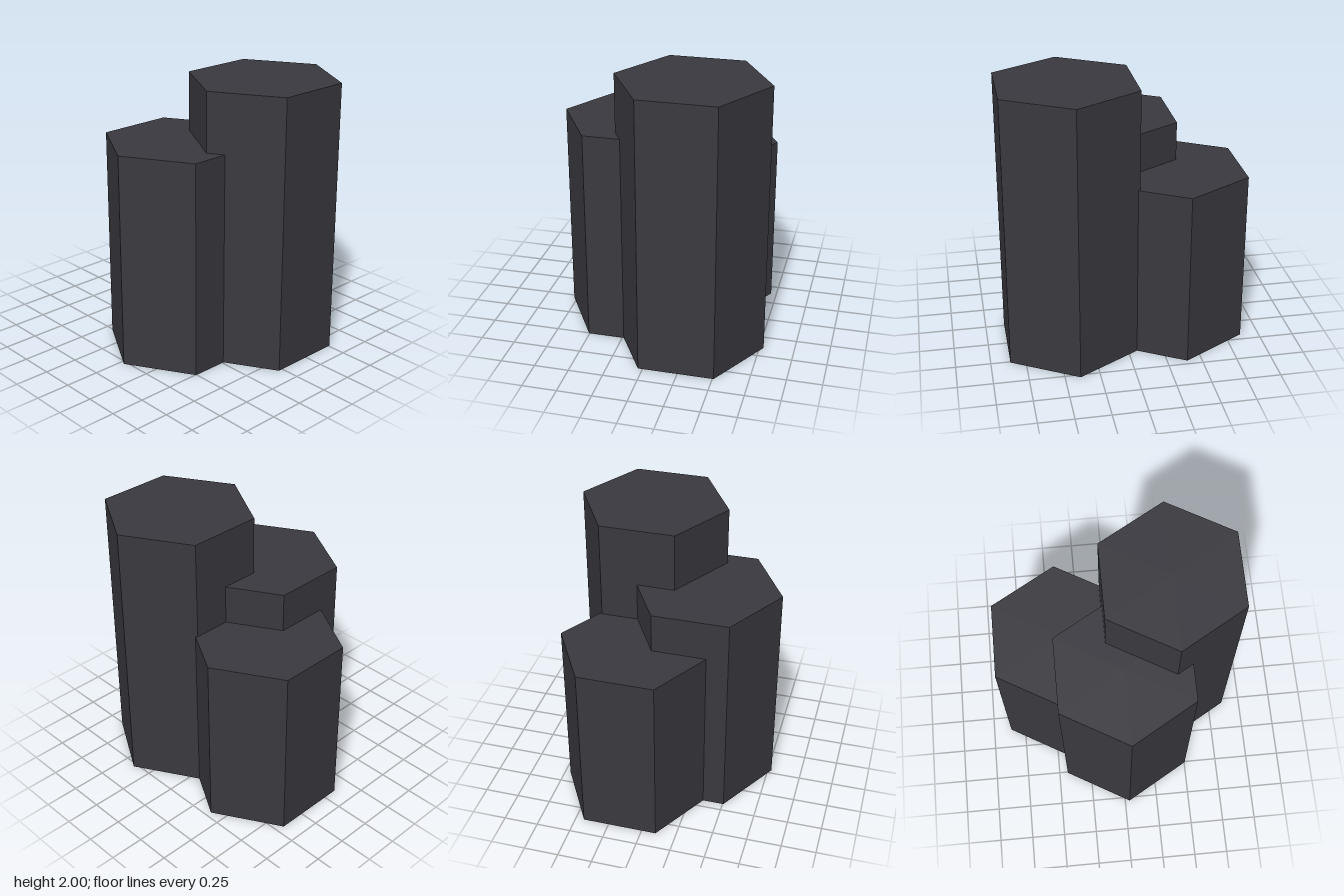
import * as THREE from 'three';

export function createModel() {
  const group = new THREE.Group();
  group.name = 'basaltColumns';

  const basalt = new THREE.MeshStandardMaterial({ color: 0x3a393f, flatShading: true });
  basalt.name = 'dark basalt';

  // Hexagonal column with corners pointing to the front and back
  const addColumn = (name, x, z, height) => {
    const column = new THREE.Mesh(new THREE.CylinderGeometry(0.542, 0.542, height, 6), basalt);
    column.name = name;
    column.position.set(x, height / 2, z);
    group.add(column);
  };

  addColumn('tallColumn', 0.391, -0.238, 2);
  addColumn('middleColumn', 0.034, 0.235, 1.572);
  addColumn('shortColumn', -0.394, -0.167, 1.286);

  return group;
}
